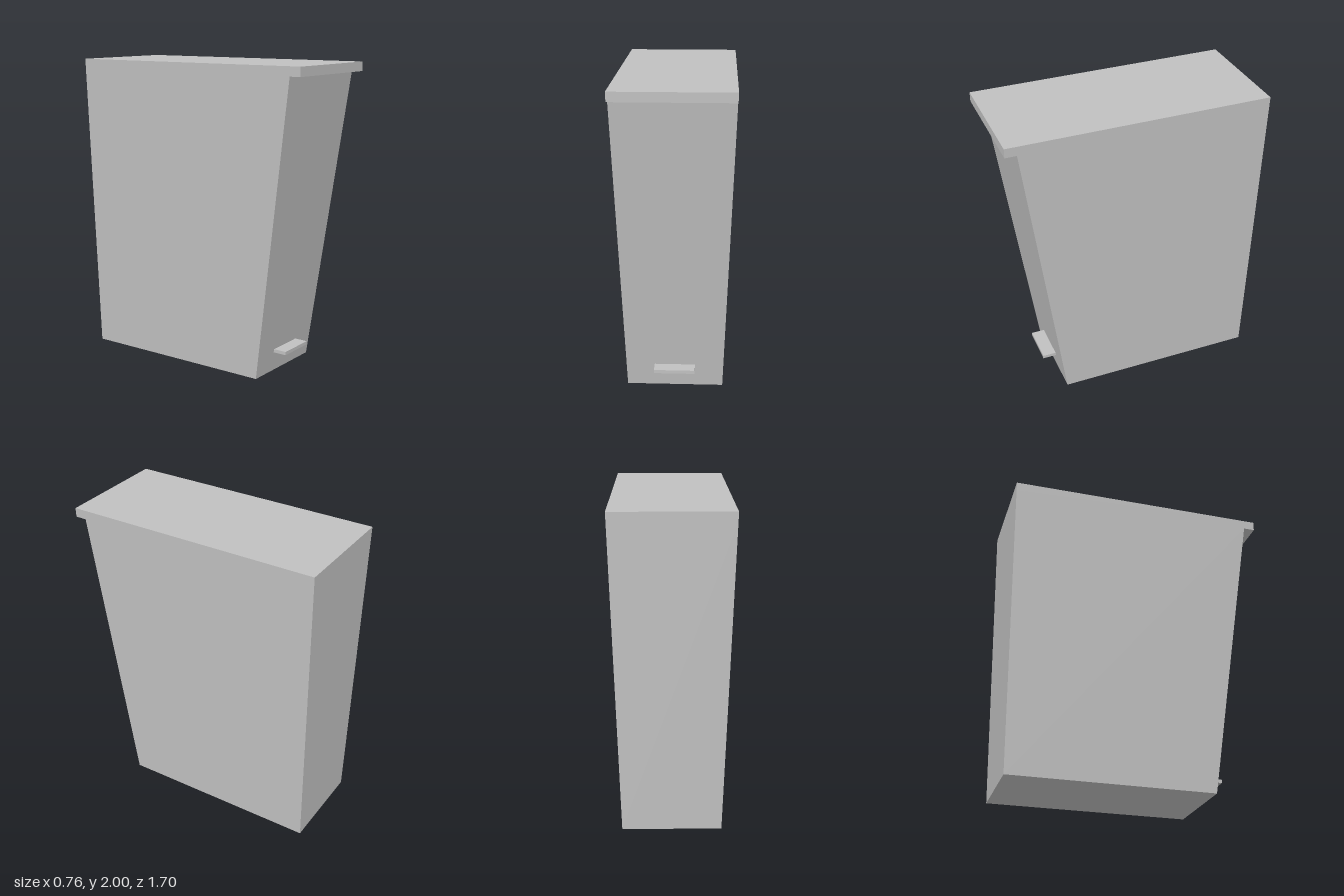
import * as THREE from 'three';

// Box whose bottom and top rectangles differ; each is { y, x, back, front }
function taperedBox(bottom, top) {
  const geometry = new THREE.BoxGeometry(2, 2, 2).toNonIndexed();
  const p = geometry.attributes.position;
  for (let i = 0; i < p.count; i++) {
    const r = p.getY(i) > 0 ? top : bottom;
    p.setXYZ(i, p.getX(i) * r.x, r.y, p.getZ(i) > 0 ? r.front : r.back);
  }
  geometry.computeVertexNormals();
  return geometry;
}

export function createModel() {
  const model = new THREE.Group();
  model.name = 'pedalBin';
  const grey = new THREE.MeshStandardMaterial({ color: 0xc0c0c0 });
  grey.name = 'light grey';

  const add = (name, geometry) => {
    const mesh = new THREE.Mesh(geometry, grey);
    mesh.name = name;
    model.add(mesh);
    return mesh;
  };

  // Tapered container, its front sloping more than its back
  add('body', taperedBox(
    { y: 0, x: 0.31, back: -0.822, front: 0.514 },
    { y: 1.94, x: 0.376, back: -0.849, front: 0.778 }));

  // Lid flush with sides and back, overhanging the front
  add('lid', taperedBox(
    { y: 1.94, x: 0.376, back: -0.849, front: 0.852 },
    { y: 2, x: 0.378, back: -0.85, front: 0.852 }));

  // Foot pedal, running slightly into the front wall
  add('pedal', new THREE.BoxGeometry(0.262, 0.022, 0.105)).position.set(0, 0.143, 0.572);

  return model;
}
